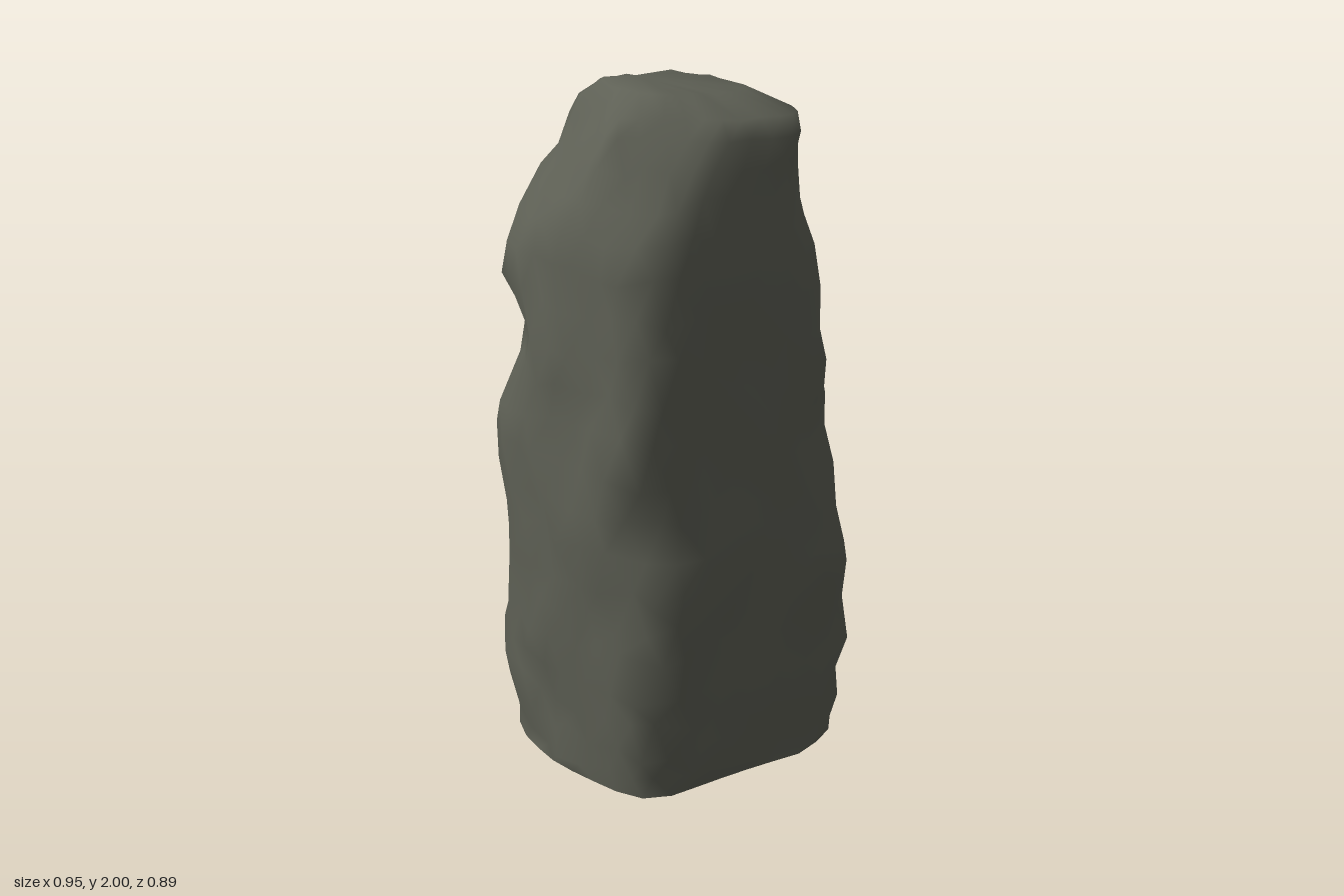
import * as THREE from 'three';

// Plan outline at the widest height, as [x, z], clockwise from above
const outline = [
  [-0.31, -0.44], [-0.23, -0.44], [0, -0.39], [0.2, -0.32], [0.41, -0.26],
  [0.465, -0.09], [0.45, 0.08], [0.4, 0.21], [0.35, 0.31], [0.29, 0.41],
  [0.11, 0.44], [0, 0.4], [-0.15, 0.345], [-0.42, 0.26], [-0.47, 0.16],
  [-0.46, -0.05], [-0.44, -0.18], [-0.38, -0.34],
];
// Extents at each height: [y, xMin, xMax, zMin, zMax]
const levels = [
  [0, -0.43, 0.42, -0.395, 0.395],
  [0.06, -0.44, 0.435, -0.405, 0.41],
  [0.2, -0.45, 0.44, -0.42, 0.425],
  [0.33, -0.46, 0.465, -0.44, 0.435],
  [0.65, -0.475, 0.47, -0.42, 0.45],
  [1.0, -0.475, 0.455, -0.43, 0.42],
  [1.3, -0.455, 0.425, -0.405, 0.405],
  [1.6, -0.435, 0.365, -0.385, 0.375],
  [1.78, -0.385, 0.315, -0.345, 0.35],
  [1.86, -0.35, 0.285, -0.325, 0.34],
  [1.91, -0.29, 0.25, -0.31, 0.325],
  [1.965, -0.2, 0.14, -0.2, 0.18],
];
// Sloping cuts across the upper corners: [nx, nz, reach, slope, y where it starts]
const cuts = [
  [-0.82, -0.57, 0.43, 0.63, 1.6],
  [-0.82, 0.57, 0.44, 0.63, 1.6],
  [0.7, 0.71, 0.47, 0.12, 0.55],
];
// Hollows: [x, y, z, radius, depth]
const hollows = [
  [0.12, 1.7, 0.34, 0.14, 0.03], [0.14, 0.98, 0.38, 0.12, 0.03],
  [-0.43, 0.84, 0.22, 0.12, 0.03], [-0.34, 1.25, -0.38, 0.16, 0.04],
  [0.44, 0.65, -0.17, 0.13, 0.03], [0.3, 1.55, 0.2, 0.13, 0.025],
];

function extentsAt(y) {
  let k = 0;
  while (k < levels.length - 2 && levels[k + 1][0] < y) k++;
  const a = levels[k], b = levels[k + 1];
  const t = (y - a[0]) / (b[0] - a[0]);
  return a.map((v, n) => THREE.MathUtils.lerp(v, b[n], t));
}

function seeded(seed) {
  return () => {
    seed = (seed * 16807) % 2147483647;
    return (seed / 2147483647) * 2 - 1;
  };
}

export function createModel() {
  const group = new THREE.Group();
  group.name = 'standingStone';
  const stone = new THREE.MeshStandardMaterial({ color: 0x5e6055 });
  stone.name = 'mossy grey stone';

  const curve = new THREE.CatmullRomCurve3(
    outline.map(([x, z]) => new THREE.Vector3(x, 0, z)), true, 'catmullrom', 0.2);
  const sides = 30;
  const heights = [0, 0.06, 0.14, 0.23, 0.33, 0.44, 0.54, 0.64, 0.75, 0.86, 0.97, 1.08,
    1.19, 1.3, 1.41, 1.52, 1.62, 1.71, 1.79, 1.86, 1.91, 1.965];
  const rand = seeded(4711);
  const positions = [], index = [];

  // Chipped rings stacked from the foot to the crown
  heights.forEach((y, j) => {
    const [, x0, x1, z0, z1] = extentsAt(y);
    const rough = y < 0.02 ? 0 : y > 1.8 ? 0.15 : y > 1.4 ? 0.7 : 1;
    for (let i = 0; i < sides; i++) {
      const u = (i + (j % 2) * 0.5 + rand() * 0.25 * rough) / sides;
      const p = curve.getPointAt((u + 1) % 1);
      p.x = THREE.MathUtils.mapLinear(p.x, -0.47, 0.465, x0, x1);
      p.z = THREE.MathUtils.mapLinear(p.z, -0.445, 0.44, z0, z1);
      for (const [nx, nz, reach, slope, start] of cuts) {
        const over = p.x * nx + p.z * nz + Math.max(0, y - start) * slope - reach;
        if (y >= start && over > 0) {
          p.x -= nx * over;
          p.z -= nz * over;
        }
      }
      let chip = 1 + rough * (0.026 * rand() + 0.012 * Math.sin(i * 1.3 + y * 9) - 0.012);
      for (const [hx, hy, hz, radius, depth] of hollows) {
        const d = Math.hypot(p.x - hx, y - hy, p.z - hz) / radius;
        if (d < 1) chip -= 2.5 * depth * (1 - d * d);
      }
      // The crown leans down towards +x
      const lean = y > 1.8 ? -0.04 * p.x : 0;
      positions.push(p.x * chip, y + lean + rand() * 0.028 * rough, p.z * chip);
    }
  });
  for (let j = 0; j < heights.length - 1; j++) {
    for (let i = 0; i < sides; i++) {
      const n = (i + 1) % sides;
      const a = j * sides + i, b = j * sides + n, d = a + sides, c = b + sides;
      if (j % 2) index.push(a, d, c, a, c, b);
      else index.push(a, d, b, b, d, c);
    }
  }

  // Crown
  const top = positions.length / 3, last = (heights.length - 1) * sides;
  positions.push(-0.13, 2, -0.05);
  for (let i = 0; i < sides; i++) index.push(top, last + ((i + 1) % sides), last + i);

  const body = new THREE.BufferGeometry();
  body.setAttribute('position', new THREE.Float32BufferAttribute(positions, 3));
  body.setIndex(index);
  body.computeVertexNormals();
  const bodyMesh = new THREE.Mesh(body, stone);
  bodyMesh.name = 'stoneBody';
  group.add(bodyMesh);

  // Flat underside with its own sharp edge
  const foot = [0, 0, 0, ...positions.slice(0, sides * 3)], footIndex = [];
  for (let i = 0; i < sides; i++) footIndex.push(0, 1 + i, 1 + ((i + 1) % sides));
  const base = new THREE.BufferGeometry();
  base.setAttribute('position', new THREE.Float32BufferAttribute(foot, 3));
  base.setIndex(footIndex);
  base.computeVertexNormals();
  const baseMesh = new THREE.Mesh(base, stone);
  baseMesh.name = 'stoneUnderside';
  group.add(baseMesh);

  return group;
}
